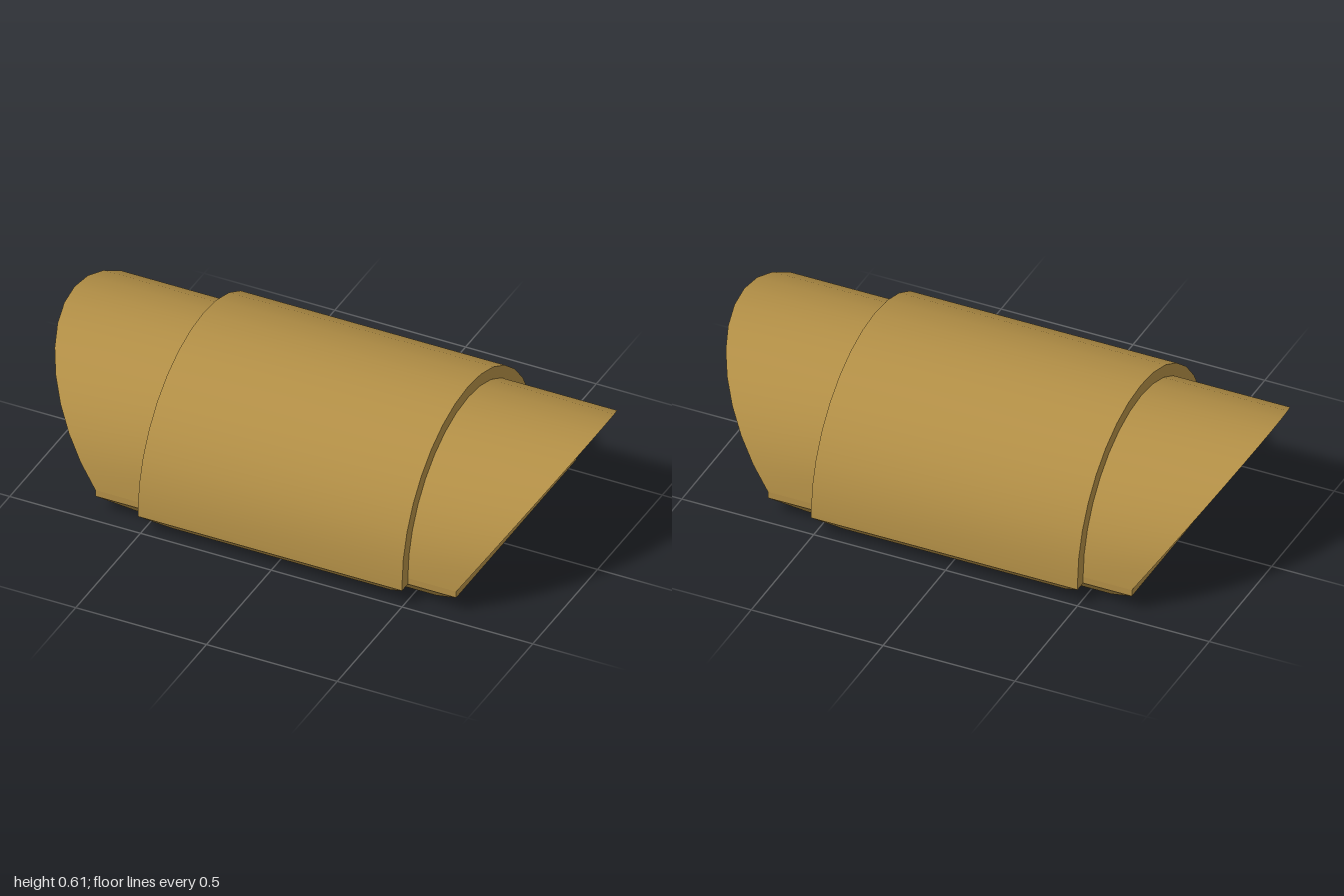
import * as THREE from 'three';
import { toCreasedNormals } from 'three/addons/utils/BufferGeometryUtils.js';

const SPRING = 0.1;      // height where the arches start
const OUTER = 0.51;      // sleeve radius
const INNER = 0.465;     // tunnel radius
const SLEEVE = 0.505;    // half length of the sleeve
const FLOOR = 0.69;      // half length of the floor
const SHOULDER = 0.075;  // height where the base starts to taper

export function createModel() {
  const group = new THREE.Group();
  const material = new THREE.MeshStandardMaterial({ color: 0xb08d45, side: THREE.DoubleSide });

  function add(name, geometry) {
    const mesh = new THREE.Mesh(geometry, material);
    mesh.name = name;
    group.add(mesh);
    return mesh;
  }

  // Block whose lower rectangle is smaller than its upper one
  function taperedBlock(topX, topZ, bottomX, bottomZ, y0, y1) {
    const geometry = new THREE.BoxGeometry(2, 1, 2);
    const p = geometry.attributes.position;
    for (let i = 0; i < p.count; i++) {
      const top = p.getY(i) > 0;
      p.setXYZ(i, p.getX(i) * (top ? topX : bottomX), top ? y1 : y0, p.getZ(i) * (top ? topZ : bottomZ));
    }
    const flat = geometry.toNonIndexed();
    flat.computeVertexNormals();
    return flat;
  }

  // Floor slab with its tapered underside
  add('floorSlab', taperedBlock(FLOOR, INNER, FLOOR, INNER, SHOULDER, SPRING));
  add('taperedBase', taperedBlock(FLOOR, INNER, 0.575, 0.385, 0, SHOULDER));
  add('sleeveBase', taperedBlock(SLEEVE, OUTER, 0.42, 0.425, 0, SHOULDER));

  // Thick arched sleeve around the middle
  const arch = new THREE.Shape();
  arch.moveTo(OUTER, SHOULDER);
  arch.lineTo(OUTER, SPRING);
  arch.absarc(0, SPRING, OUTER, 0, Math.PI, false);
  arch.lineTo(-OUTER, SHOULDER);
  arch.lineTo(-INNER, SHOULDER);
  arch.lineTo(-INNER, SPRING);
  arch.absarc(0, SPRING, INNER, Math.PI, 0, true);
  arch.lineTo(INNER, SHOULDER);
  arch.closePath();
  const sleeve = new THREE.ExtrudeGeometry(arch, { depth: 2 * SLEEVE, bevelEnabled: false, curveSegments: 8 });
  sleeve.translate(0, 0, -SLEEVE);
  sleeve.rotateY(Math.PI / 2);
  add('archedSleeve', toCreasedNormals(sleeve, 0.4));

  // Thin arched hoods with slanted mouths at both ends
  const hood = new THREE.PlaneGeometry(1, 1, 16, 1);
  const p = hood.attributes.position;
  for (let i = 0; i < p.count; i++) {
    const angle = (p.getX(i) + 0.5) * Math.PI;
    const rise = Math.sin(angle);
    const mouth = FLOOR + (1 - FLOOR) * rise;
    const x = p.getY(i) > 0 ? mouth : SLEEVE;
    p.setXYZ(i, x, SPRING + INNER * rise, INNER * Math.cos(angle));
  }
  hood.computeVertexNormals();
  add('leftHood', hood);
  add('rightHood', hood).rotation.y = Math.PI;

  return group;
}
